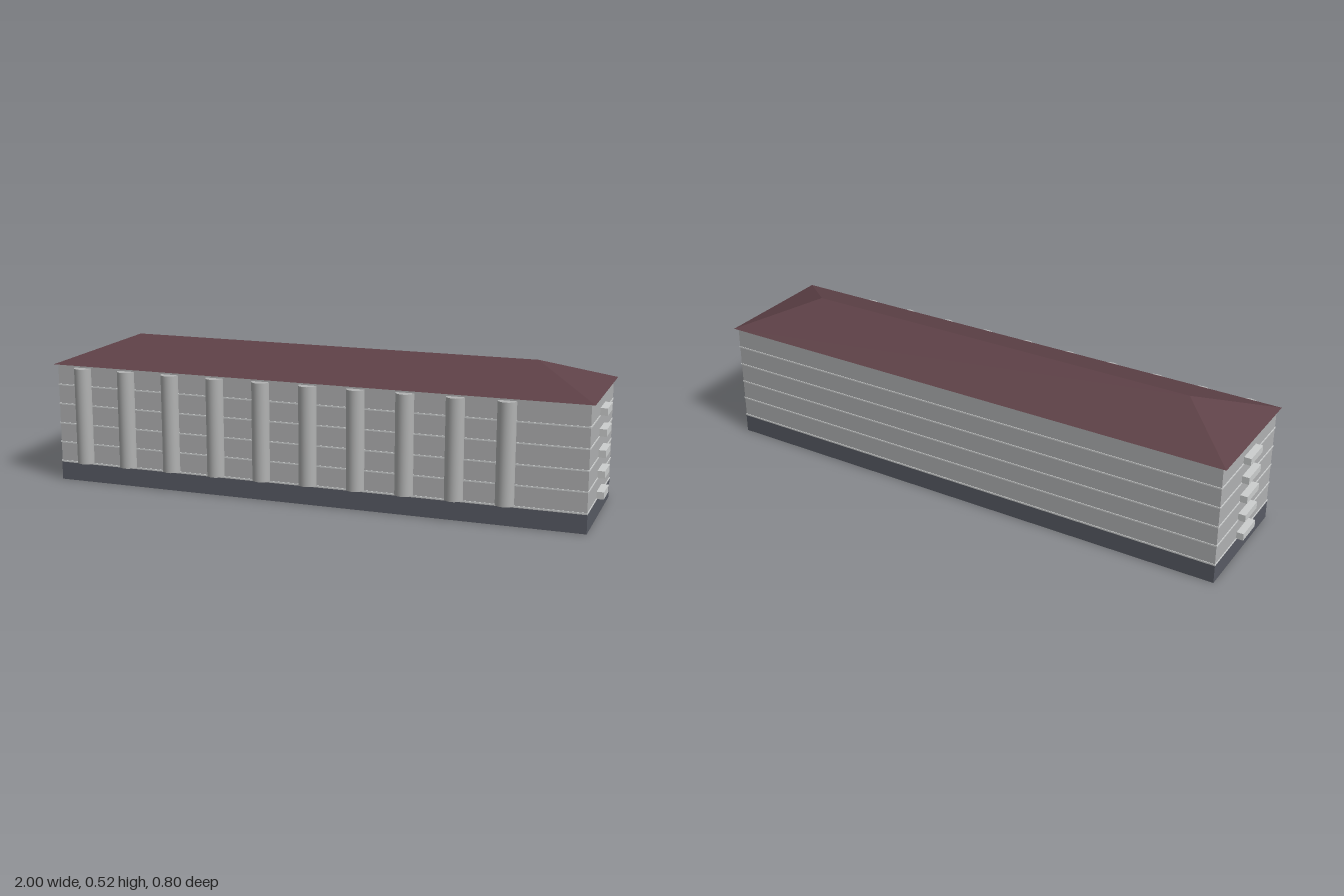
import * as THREE from 'three';

const L = 0.962, W = 0.2245;            // half length and half width of the walls
const EAVE = 0.43, RIDGE = 0.518;
const FLOORS = [0.07, 0.142, 0.213, 0.285, 0.356];

const mat = (name, color, side = THREE.FrontSide) => {
  const m = new THREE.MeshStandardMaterial({ color, side });
  m.name = name;
  return m;
};

// Four walls without floor or ceiling
function shell(halfX, halfZ, y0, y1) {
  const g = new THREE.BoxGeometry(2 * halfX, y1 - y0, 2 * halfZ);
  const idx = Array.from(g.index.array);
  g.setIndex([...idx.slice(0, 12), ...idx.slice(24)]);
  g.clearGroups();
  return g.translate(0, (y0 + y1) / 2, 0);
}

const rect = (C, x, z) => {
  const p = new C();
  p.moveTo(-x, -z); p.lineTo(x, -z); p.lineTo(x, z); p.lineTo(-x, z); p.closePath();
  return p;
};

// Narrow band running round the walls
function band(y, height, out) {
  const s = rect(THREE.Shape, L + out, W + out);
  s.holes.push(rect(THREE.Path, L, W));
  return new THREE.ExtrudeGeometry(s, { depth: height, bevelEnabled: false })
    .rotateX(-Math.PI / 2).translate(0, y, 0);
}

// Hipped roof with a closed underside
function hipRoof(x, z, ridge) {
  const FL = [-x, EAVE, z], FR = [x, EAVE, z], BR = [x, EAVE, -z], BL = [-x, EAVE, -z];
  const RL = [-ridge, RIDGE, 0], RR = [ridge, RIDGE, 0];
  const tris = [
    FL, FR, RR, FL, RR, RL,
    BR, BL, RL, BR, RL, RR,
    FR, BR, RR, BL, FL, RL,
    FL, BL, BR, FL, BR, FR,
  ];
  const g = new THREE.BufferGeometry();
  g.setAttribute('position', new THREE.Float32BufferAttribute(tris.flat(), 3));
  g.computeVertexNormals();
  return g;
}

export function createModel() {
  const model = new THREE.Group();
  model.name = 'building';

  const wallMat = mat('wall grey', 0xb0b1b2, THREE.DoubleSide);
  const columnMat = mat('column grey', 0xb2b3b3);
  const ledgeMat = mat('ledge light grey', 0xd2d4d4);
  const balconyMat = mat('balcony light grey', 0xcccece);
  const baseMat = mat('plinth slate', 0x585b64);
  const roofMat = mat('roof maroon', 0x5e4147);

  const add = (name, geometry, material, parent = model) => {
    const m = new THREE.Mesh(geometry, material);
    m.name = name;
    parent.add(m);
    return m;
  };

  // Body, plinth and roof
  add('walls', shell(L, W, 0, EAVE), wallMat);
  add('plinth', shell(L + 0.001, W + 0.001, 0, 0.065), baseMat);
  add('roof', hipRoof(0.975, 0.234, 0.742), roofMat);

  // Ledges at each floor
  FLOORS.forEach((y) => add('floorLedge', band(y - 0.003, 0.005, 0.002), ledgeMat));

  // Round columns half sunk into the front wall
  const columnGeo = new THREE.CylinderGeometry(0.032, 0.032, 0.35, 24);
  for (let i = 0; i < 10; i++) {
    add('column', columnGeo, columnMat).position.set(-0.861 + i * 0.1724, 0.247, W);
  }

  // Balconies on both end walls
  const balconyGeo = new THREE.BoxGeometry(0.05, 0.025, 0.1);
  for (const side of [-1, 1]) {
    FLOORS.forEach((y) => add('balcony', balconyGeo, balconyMat).position.set(side * L, y + 0.0125, 0));
  }

  // The whole block stands at a slight angle
  model.rotation.y = 0.172;
  const root = new THREE.Group();
  root.name = 'model';
  root.add(model);
  return root;
}
